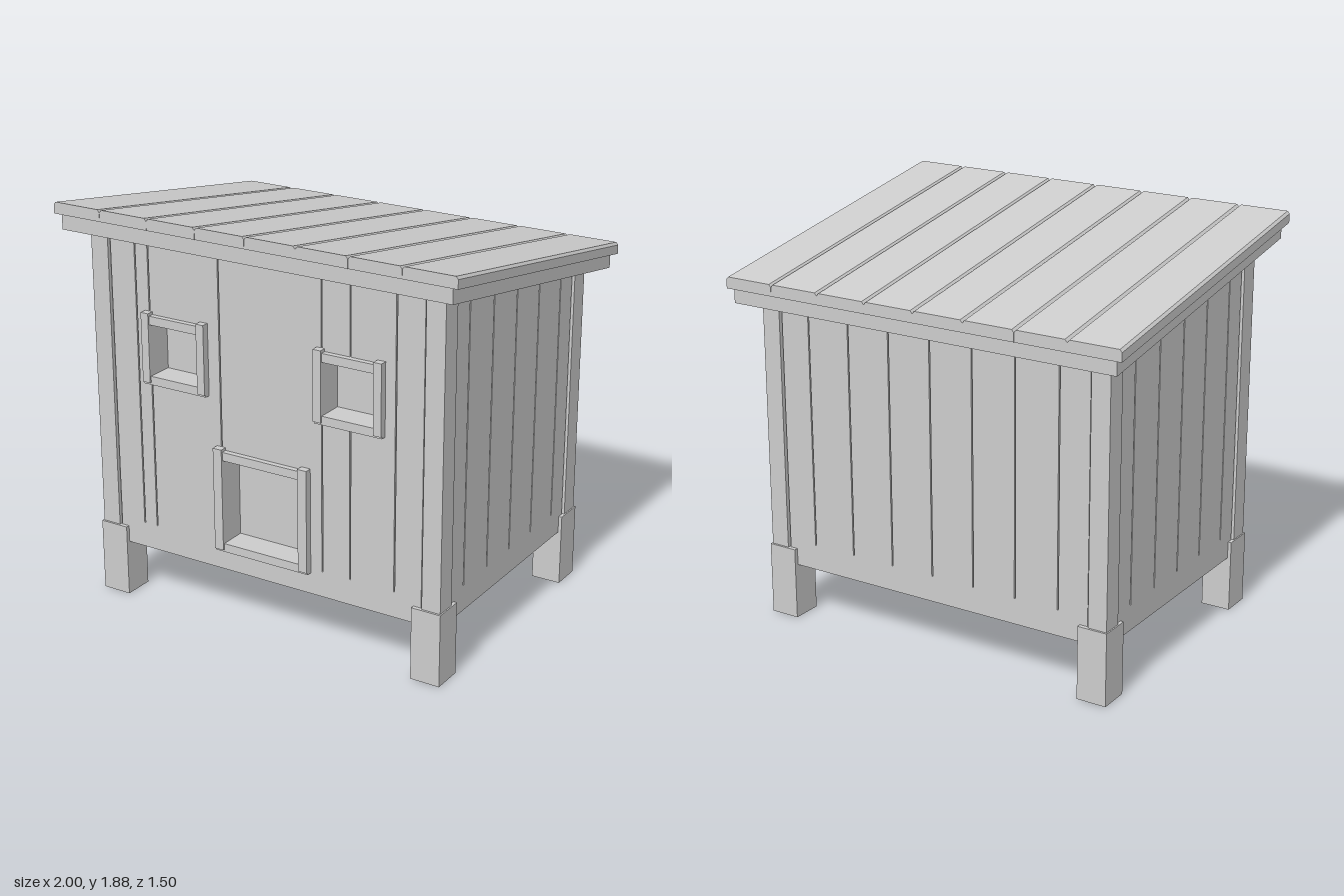
import * as THREE from 'three';

const SLOPE = 1 / 6;          // roof rise towards the front
const FLOOR = 0.26;
const EAVE = 1.65;            // wall top at z = 0, tucked into the roof frame

export function createModel() {
  const model = new THREE.Group();
  model.name = 'petHouse';
  const paint = new THREE.MeshStandardMaterial({ color: 0xcccccc });
  paint.name = 'plain grey';

  const add = (name, geometry, parent = model) => {
    const mesh = new THREE.Mesh(geometry, paint);
    mesh.name = name;
    parent.add(mesh);
    return mesh;
  };

  // Box given by its limits
  const box = (x0, x1, y0, y1, z0, z1) =>
    new THREE.BoxGeometry(x1 - x0, y1 - y0, z1 - z0)
      .translate((x0 + x1) / 2, (y0 + y1) / 2, (z0 + z1) / 2);

  // Raise vertices above minY along the roof slope
  const shear = (geometry, minY = -1) => {
    const p = geometry.attributes.position;
    for (let i = 0; i < p.count; i++) {
      if (p.getY(i) > minY) p.setY(i, p.getY(i) + p.getZ(i) * SLOPE);
    }
    const flat = geometry.index ? geometry.toNonIndexed() : geometry;
    flat.computeVertexNormals();
    return flat;
  };

  // Rectangular hole: [x0, x1, y0, y1]
  const rectPath = ([x0, x1, y0, y1]) => new THREE.Path([
    new THREE.Vector2(x0, y0), new THREE.Vector2(x0, y1),
    new THREE.Vector2(x1, y1), new THREE.Vector2(x1, y0)]);

  // Upright wall sheet with a straight, possibly sloping top
  const wall = (half, topLeft, topRight, depth, holes) => {
    const shape = new THREE.Shape([
      new THREE.Vector2(-half, FLOOR), new THREE.Vector2(half, FLOOR),
      new THREE.Vector2(half, topRight), new THREE.Vector2(-half, topLeft)]);
    shape.holes = holes.map(rectPath);
    return new THREE.ExtrudeGeometry(shape, { depth, bevelEnabled: false });
  };
  const seam = (x, top, bottom = 0.38) => [x - 0.003, x + 0.003, bottom, top];

  // Body core, with the front layer left open for door and windows
  add('bodyCore', shear(box(-0.87, 0.87, FLOOR, EAVE, -0.62, 0.53), 1));
  const openings = [
    [-0.2, 0.195, 0.4, 0.8],
    [-0.575, -0.32, 1.12, 1.36],
    [0.315, 0.57, 1.12, 1.36]];
  const frontTop = EAVE + 0.62 * SLOPE;
  add('frontWall', wall(0.87, frontTop, frontTop, 0.092, openings)).position.z = 0.53;

  // Thin plank cladding with narrow seams
  const frontSeams = [-0.66, -0.59, -0.22, 0.3, 0.66].map(x => seam(x, 1.72));
  frontSeams.push(seam(0.44, 1.1), seam(0.44, 1.72, 1.38));
  add('frontCladding', wall(0.792, frontTop, frontTop, 0.009, [...openings, ...frontSeams]))
    .position.z = 0.622;

  const backTop = EAVE - 0.62 * SLOPE;
  const backSeams = [-3, -2, -1, 0, 1, 2, 3].map(i => seam(i * 0.215, backTop - 0.01));
  const back = add('backCladding', wall(0.792, backTop, backTop, 0.01, backSeams));
  back.rotation.y = Math.PI;
  back.position.z = -0.62;

  for (const s of [1, -1]) {
    const top = u => EAVE - s * u * SLOPE;
    const seams = [-2, -1, 0, 1, 2].map(i => seam(i * 0.21, top(i * 0.21) - 0.01));
    const side = add(s > 0 ? 'leftCladding' : 'rightCladding',
      wall(0.535, top(-0.535), top(0.535), 0.01, seams));
    side.rotation.y = s * Math.PI / 2;
    side.position.x = s * 0.87;
  }

  // Corner posts and feet
  const span = (s, a, b) => s > 0 ? [a, b] : [-b, -a];
  for (const sx of [1, -1]) for (const sz of [1, -1]) {
    const post = box(...span(sx, 0.8, 0.89), 0.3, EAVE, ...span(sz, 0.543, 0.64));
    add('cornerPost', shear(post, 1));
    add('foot', box(...span(sx, 0.755, 0.896), 0, 0.34, ...span(sz, 0.505, 0.65)));
  }

  // Raised trim around each opening
  const trim = (name, [x0, x1, y0, y1], w) => {
    const group = new THREE.Group();
    group.name = name;
    add('sill', box(x0 - w, x1 + w, y0 - 0.04, y0, 0.625, 0.657), group);
    add('lintel', box(x0, x1, y1, y1 + 0.04, 0.625, 0.657), group);
    add('leftJamb', box(x1, x1 + w, y0 - 0.03, y1 + 0.053, 0.625, 0.665), group);
    add('rightJamb', box(x0 - w, x0, y0 - 0.03, y1 + 0.053, 0.625, 0.665), group);
    model.add(group);
  };
  trim('doorFrame', openings[0], 0.045);
  trim('rightWindowFrame', openings[1], 0.039);
  trim('leftWindowFrame', openings[2], 0.039);

  // Roof: sloping frame, solid deck and eight chamfered planks
  add('roofFrame', shear(box(-0.97, 0.97, 1.628, 1.7, -0.735, 0.735)));
  add('roofDeck', shear(box(-0.998, 0.998, 1.697, 1.735, -0.748, 0.748)));
  const w = 0.1245;
  const profile = new THREE.Shape([
    [-w, 1.697], [w, 1.697], [w, 1.738], [w - 0.01, 1.75], [-w + 0.01, 1.75], [-w, 1.738],
  ].map(([x, y]) => new THREE.Vector2(x, y)));
  for (let i = 0; i < 8; i++) {
    const plank = new THREE.ExtrudeGeometry(profile, { depth: 1.5, bevelEnabled: false });
    add('roofPlank', shear(plank.translate(-0.875 + i * 0.25, 0, -0.75)));
  }
  return model;
}
